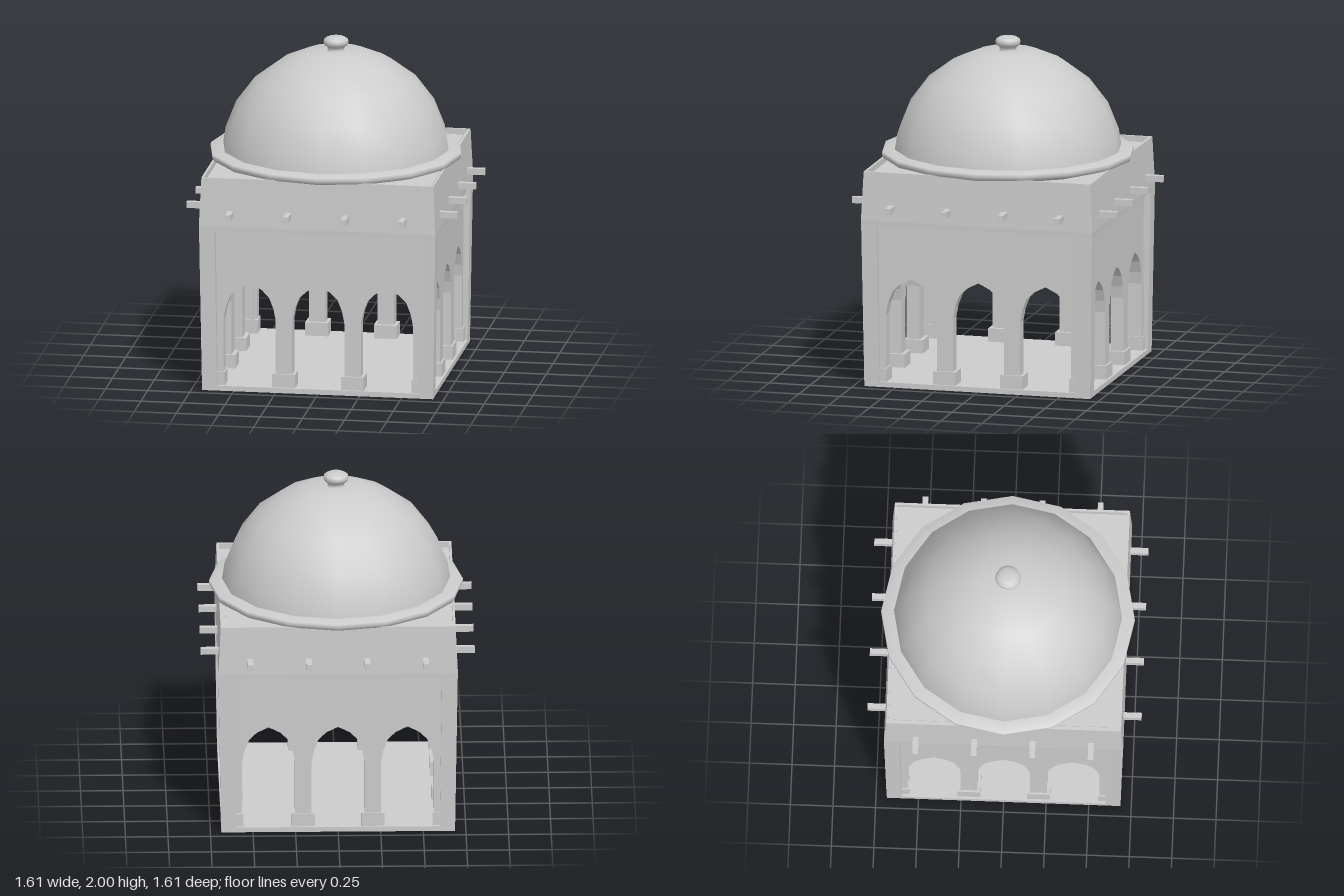
import * as THREE from 'three';

const grey = new THREE.MeshStandardMaterial({ color: 0xcccccc, side: THREE.DoubleSide });
const flat = new THREE.MeshStandardMaterial({ color: 0xcccccc, flatShading: true, side: THREE.DoubleSide });

function add(parent, name, geometry, material = flat) {
  const mesh = new THREE.Mesh(geometry, material);
  mesh.name = name;
  parent.add(mesh);
  return mesh;
}

// Box given by its lower and upper corners
function box(x0, y0, z0, x1, y1, z1) {
  return new THREE.BoxGeometry(x1 - x0, y1 - y0, z1 - z0)
    .translate((x0 + x1) / 2, (y0 + y1) / 2, (z0 + z1) / 2);
}

const profile = (pts) => pts.map(([r, y]) => new THREE.Vector2(r, y));

// Square ring or slab: a four-sided lathe whose radii are half widths
function squareLathe(pts) {
  return new THREE.LatheGeometry(
    profile(pts.map(([r, y]) => [r * Math.SQRT2, y])), 4, Math.PI / 4);
}

// Recessed wall whose lower edge is cut by three pointed arches
function arcadeGeometry() {
  const half = [[-0.155, 0.03], [-0.155, 0.43], [-0.142, 0.5], [-0.115, 0.57], [-0.07, 0.615]];
  const arch = [...half, [0, 0.65], ...half.map(([x, y]) => [-x, y]).reverse()];
  const s = new THREE.Shape();
  s.moveTo(-0.63, 0.03);
  for (const cx of [-0.408, 0, 0.408]) for (const [x, y] of arch) s.lineTo(cx + x, y);
  s.lineTo(0.63, 0.03);
  s.lineTo(0.63, 0.99);
  s.lineTo(-0.63, 0.99);
  return new THREE.ExtrudeGeometry(s, { depth: 0.08, bevelEnabled: false }).translate(0, 0, 0.58);
}

// Corner post leaning slightly inward toward its foot
function postGeometry() {
  const g = box(0.61, 0.03, 0.61, 0.702, 0.97, 0.702);
  const p = g.attributes.position;
  for (let i = 0; i < p.count; i++) {
    const k = 0.978 + 0.022 * (p.getY(i) / 0.97);
    p.setXYZ(i, p.getX(i) * k, p.getY(i), p.getZ(i) * k);
  }
  return g;
}

export function createModel() {
  const model = new THREE.Group();
  model.name = 'domedPavilion';

  add(model, 'floor', box(-0.686, 0, -0.686, 0.686, 0.03, 0.686));

  // Four identical sides
  const arcade = arcadeGeometry();
  const post = postGeometry();
  for (let i = 0; i < 4; i++) {
    const side = new THREE.Group();
    side.name = 'side' + (i + 1);
    side.rotation.y = i * Math.PI / 2;
    model.add(side);
    add(side, 'arcadeWall', arcade);
    add(side, 'cornerPost', post);
    add(side, 'cornerPlinth', box(0.555, 0.03, 0.555, 0.67, 0.11, 0.67));
    for (const x of [-0.204, 0.204])
      add(side, 'pillarPlinth', box(x - 0.068, 0.03, 0.555, x + 0.068, 0.11, 0.672));
    for (const x of [-0.515, -0.172, 0.172, 0.515])
      add(side, 'beamEnd', box(x - 0.017, 1.06, 0.66, x + 0.017, 1.097, 0.805));
  }

  // Upper band with parapet, sunken roof and ceiling
  add(model, 'upperBandAndRoof', squareLathe([
    [0, 1.2], [0.58, 1.2], [0.58, 0.97], [0.702, 0.97], [0.703, 1.0], [0.69, 1.29],
    [0.676, 1.29], [0.676, 1.255], [0.655, 1.255], [0.655, 1.26], [0, 1.26],
  ]));

  // Dome, its rim and the knob on top
  add(model, 'domeRim', new THREE.LatheGeometry(profile([
    [0.62, 1.25], [0.69, 1.272], [0.738, 1.286], [0.746, 1.305], [0.744, 1.325], [0.668, 1.334],
  ]), 16), grey);
  add(model, 'dome', new THREE.LatheGeometry(profile([
    [0.672, 1.32], [0.656, 1.425], [0.592, 1.586], [0.48, 1.735],
    [0.332, 1.845], [0.175, 1.912], [0.04, 1.915],
  ]), 16), grey);
  add(model, 'knob', new THREE.LatheGeometry(profile([
    [0.056, 1.905], [0.048, 1.92], [0.05, 1.935], [0.068, 1.948], [0.074, 1.965],
    [0.07, 1.982], [0.05, 1.994], [0.025, 1.999], [0, 2],
  ]), 24), grey);

  return model;
}
